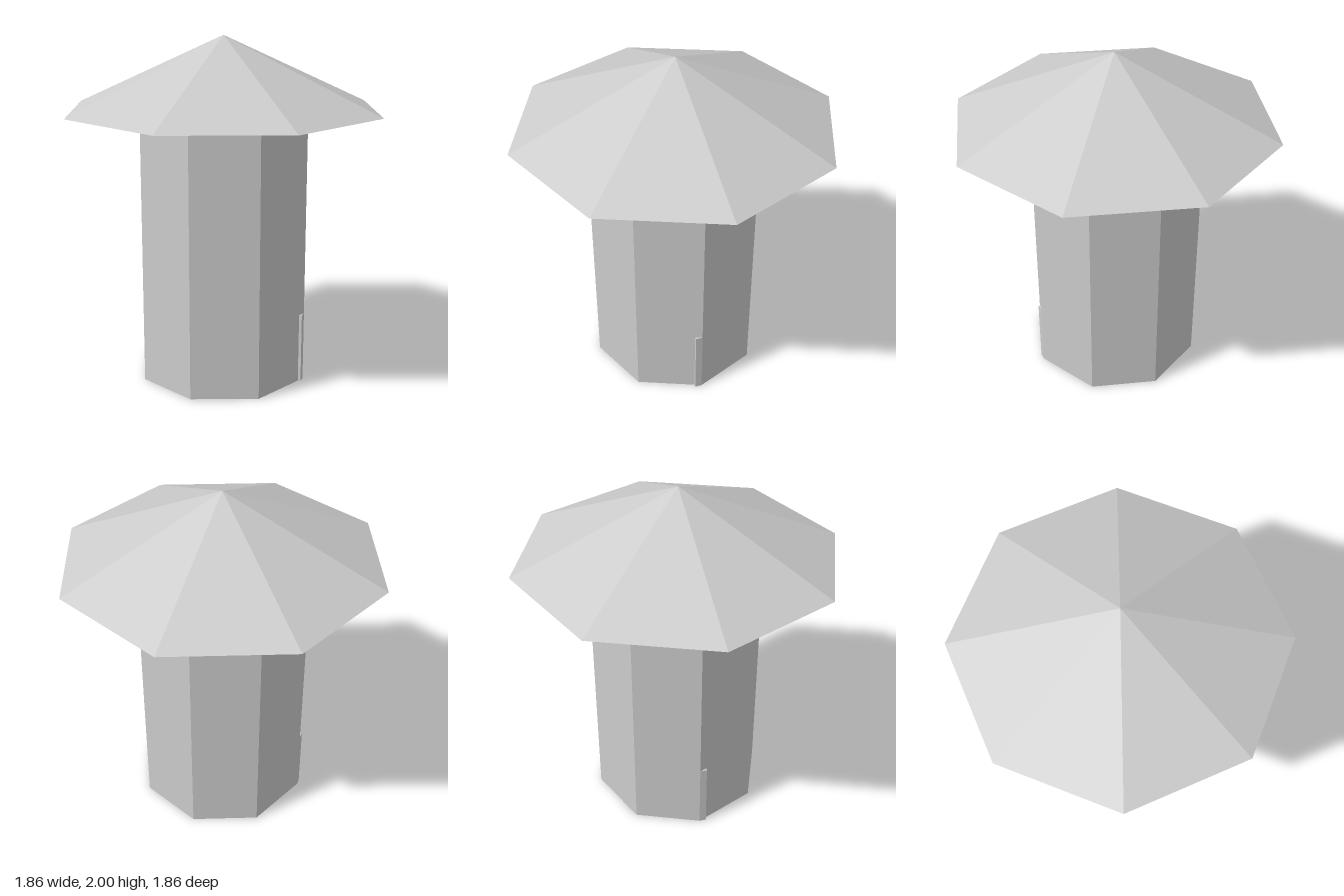
import * as THREE from 'three';

const SIDES = 8;
const BODY_RADIUS = 0.505;
const EAVES = 1.58;
const ROOF_RADIUS = 0.93;
const BOARD = { height: 0.41, depth: 0.04 };

export function createModel() {
  const group = new THREE.Group();
  const material = new THREE.MeshStandardMaterial({
    color: 0xcccccc, flatShading: true, side: THREE.DoubleSide,
  });

  const add = (name, geometry, y, z = 0) => {
    const mesh = new THREE.Mesh(geometry, material);
    mesh.name = name;
    mesh.position.set(0, y, z);
    group.add(mesh);
  };

  // Eight-sided tube, open at both ends
  add('body', new THREE.CylinderGeometry(BODY_RADIUS, BODY_RADIUS, EAVES, SIDES, 1, true), EAVES / 2);

  // Thin pitched roof, hollow underneath
  add('roof', new THREE.ConeGeometry(ROOF_RADIUS, 2 - EAVES, SIDES, 1, true), (2 + EAVES) / 2);

  // Upright board across the foot, its ends just breaking through the walls
  add('crossBoard', new THREE.BoxGeometry(BODY_RADIUS * 2, BOARD.height, BOARD.depth),
    BOARD.height / 2, BOARD.depth / 2);

  return group;
}
